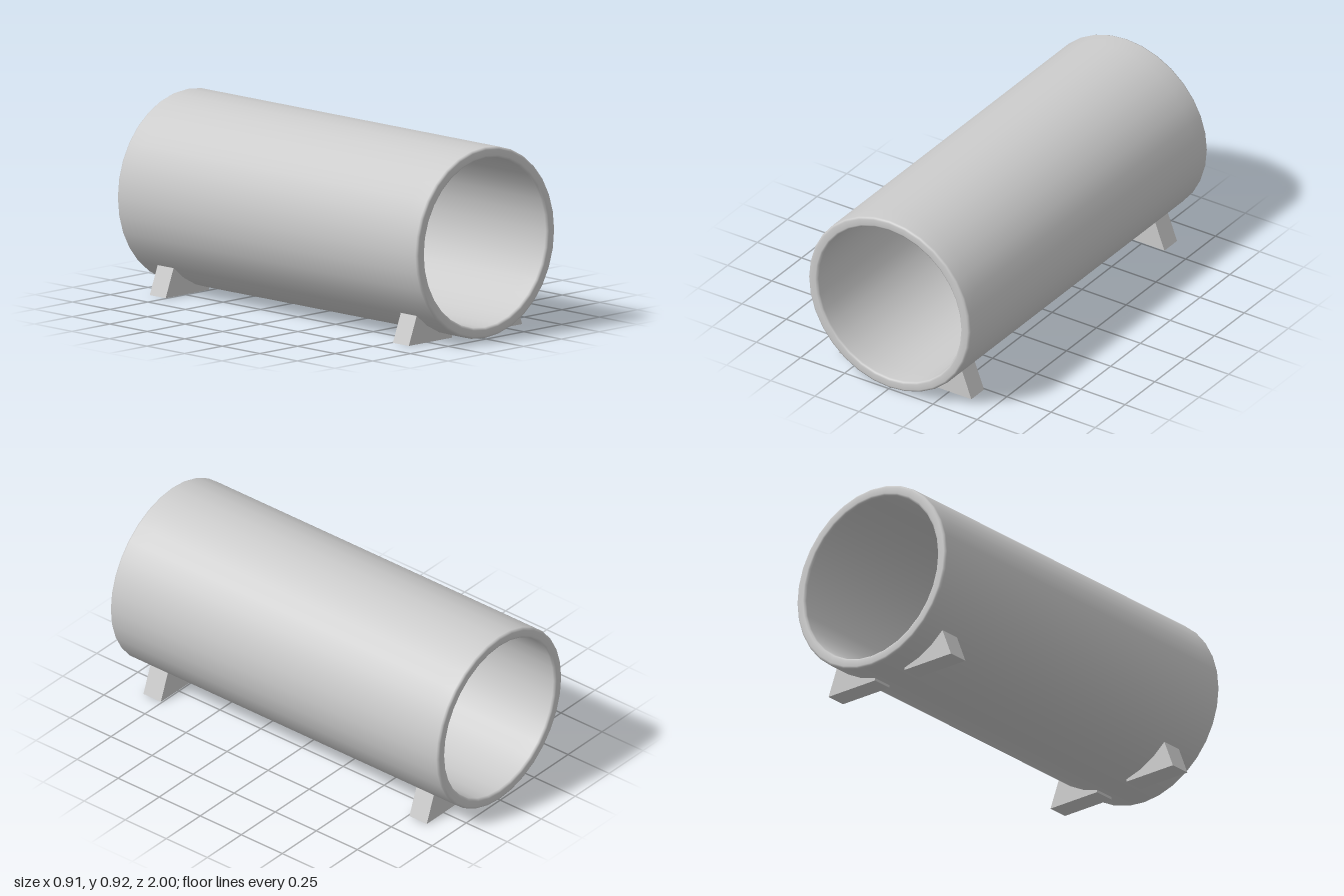
import * as THREE from 'three';

const R_OUT = 0.457, R_IN = 0.405, BEVEL = 0.012, CENTER_Y = 0.46, SIDES = 32;

// Open pipe along z, with small bevels on the four rims
function makePipe(material) {
  const rim = [
    [R_OUT, 0.9], [R_OUT, 1 - BEVEL], [R_OUT - BEVEL * 0.3, 1 - BEVEL * 0.3], [R_OUT - BEVEL, 1],
    [R_IN + BEVEL, 1], [R_IN + BEVEL * 0.3, 1 - BEVEL * 0.3], [R_IN, 1 - BEVEL], [R_IN, 0.9],
  ];
  const far = rim.map(([r, h]) => [r, -h]).reverse();
  const profile = [[R_IN, 0], ...far, ...rim, [R_IN, 0]].map(([r, h]) => new THREE.Vector2(r, h));
  const geometry = new THREE.LatheGeometry(profile, SIDES);
  geometry.rotateX(Math.PI / 2);
  const pipe = new THREE.Mesh(geometry, material);
  pipe.name = 'pipe';
  pipe.position.y = CENTER_Y;
  return pipe;
}

// Wedge foot whose inner edge follows the underside of the pipe
function makeFootGeometry(side) {
  const step = (Math.PI * 2) / SIDES;
  const points = [[0.09, 0], [0.375, 0], [0.323, 0.136]];
  for (let i = 4; i >= 1; i--) {
    points.push([R_OUT * Math.sin(i * step), CENTER_Y - R_OUT * Math.cos(i * step)]);
  }
  const shape = new THREE.Shape(points.map(([x, y]) => new THREE.Vector2(x * side, y)));
  const geometry = new THREE.ExtrudeGeometry(shape, { depth: 0.106, bevelEnabled: false });
  return geometry.translate(0, 0, -0.053);
}

export function createModel() {
  const group = new THREE.Group();
  group.name = 'pipeOnFeet';
  const material = new THREE.MeshStandardMaterial({ color: 0xcccccc });
  group.add(makePipe(material));

  // Four feet, mirrored left and right, front and back
  for (const side of [1, -1]) {
    for (const end of [1, -1]) {
      const foot = new THREE.Mesh(makeFootGeometry(side), material);
      foot.name = `${end > 0 ? 'front' : 'back'}${side > 0 ? 'Left' : 'Right'}Foot`;
      foot.position.z = end * 0.81;
      group.add(foot);
    }
  }
  return group;
}
